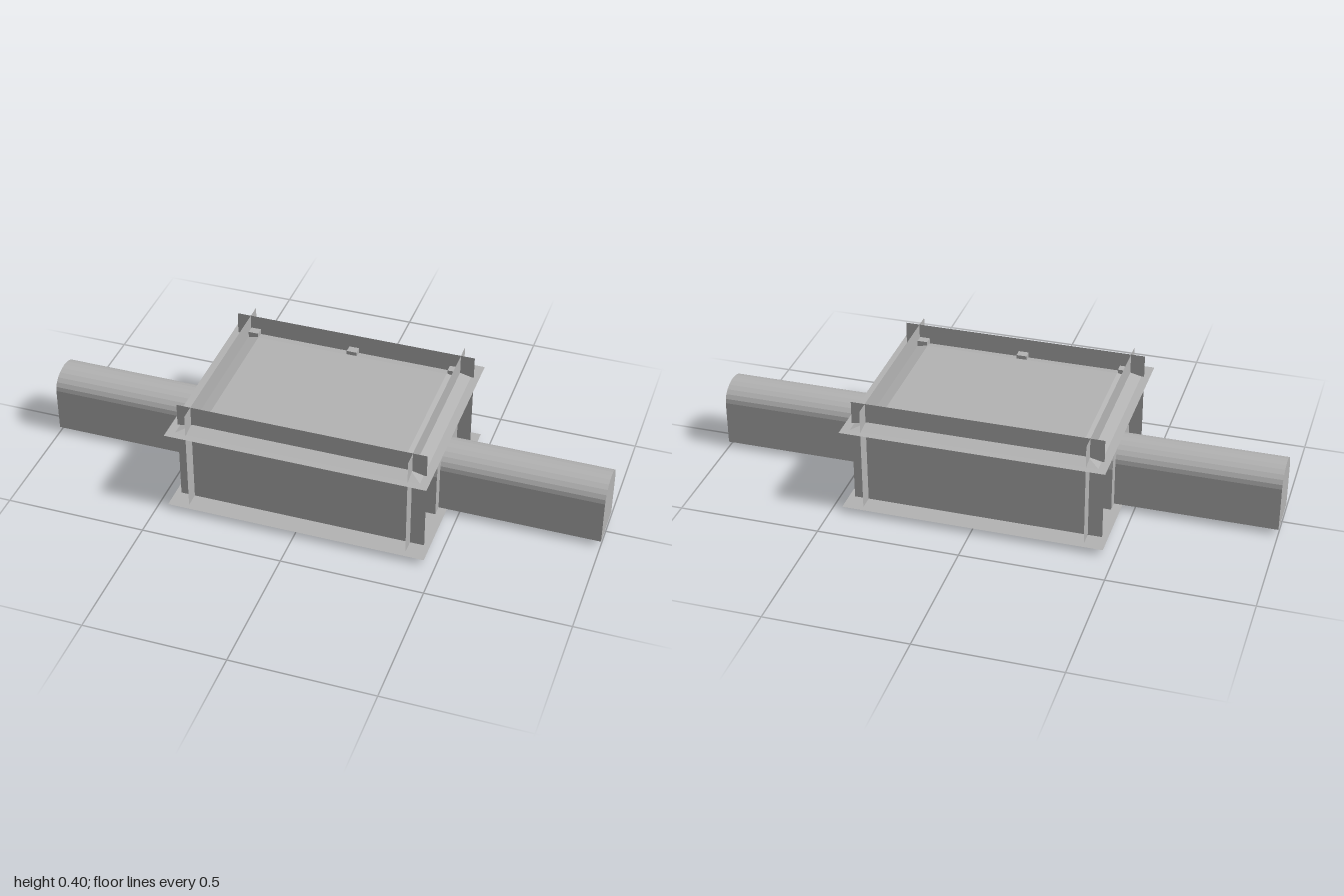
import * as THREE from 'three';

const stone = new THREE.MeshStandardMaterial({ color: 0xb4b4b4, side: THREE.DoubleSide });
stone.name = 'stone grey';

const FLOOR = 0.02, SPRING = 0.182;

// Arched outline: straight jambs with an elliptical head
function archPoints(halfWidth, top, segments = 10) {
  const pts = [new THREE.Vector2(halfWidth, FLOOR)];
  for (let i = 0; i <= segments; i++) {
    const a = (Math.PI * i) / segments;
    pts.push(new THREE.Vector2(halfWidth * Math.cos(a), SPRING + (top - SPRING) * Math.sin(a)));
  }
  pts.push(new THREE.Vector2(-halfWidth, FLOOR));
  return pts;
}

// Ceiling: flat outer flange, sloping border and raised centre
function ceilingGeometry() {
  const rings = [[0.46, 0.365, 0.318], [0.43, 0.337, 0.318], [0.35, 0.257, 0.337]];
  const corners = [[1, 1], [1, -1], [-1, -1], [-1, 1]];
  const at = (r, c) => {
    const [sx, sz] = corners[c % 4];
    return [sx * rings[r][0], rings[r][2], sz * rings[r][1]];
  };
  const pos = [];
  const quad = (a, b, c, d) => pos.push(...a, ...b, ...c, ...a, ...c, ...d);
  for (let r = 0; r < 2; r++) {
    for (let c = 0; c < 4; c++) quad(at(r, c), at(r, c + 1), at(r + 1, c + 1), at(r + 1, c));
  }
  quad(at(2, 0), at(2, 1), at(2, 2), at(2, 3));
  const geo = new THREE.BufferGeometry();
  geo.setAttribute('position', new THREE.Float32BufferAttribute(pos, 3));
  geo.computeVertexNormals();
  return geo;
}

export function createModel() {
  const model = new THREE.Group();
  model.name = 'chamberWithTunnels';
  const add = (name, geo, x = 0, y = 0, z = 0, parent = model) => {
    const mesh = new THREE.Mesh(geo, stone);
    mesh.name = name;
    mesh.position.set(x, y, z);
    parent.add(mesh);
    return mesh;
  };

  // Floor and ceiling sheets
  add('floor', new THREE.PlaneGeometry(0.92, 0.73).rotateX(-Math.PI / 2), 0, FLOOR, 0);
  add('ceiling', ceilingGeometry());

  // Long walls, crossing the end walls at the corners
  add('frontWall', new THREE.PlaneGeometry(0.88, 0.4), 0, 0.2, 0.291);
  add('backWall', new THREE.PlaneGeometry(0.88, 0.4).rotateY(Math.PI), 0, 0.2, -0.291);

  // Pillars along the long walls
  for (const z of [-0.275, 0.275]) {
    for (const x of [-0.37, 0, 0.37]) {
      add('pillar', new THREE.BoxGeometry(0.036, 0.33, 0.03), x, 0.185, z);
    }
  }

  // Each end: wall with doorway, arch surround and tunnel
  for (const side of [1, -1]) {
    const end = new THREE.Group();
    end.name = side > 0 ? 'leftEnd' : 'rightEnd';
    end.rotation.y = side > 0 ? 0 : Math.PI;
    model.add(end);

    const wall = new THREE.Shape([
      new THREE.Vector2(-0.345, 0), new THREE.Vector2(0.345, 0),
      new THREE.Vector2(0.345, 0.4), new THREE.Vector2(-0.345, 0.4),
    ]);
    wall.holes.push(new THREE.Path(archPoints(0.081, 0.243)));
    add('endWall', new THREE.ShapeGeometry(wall).rotateY(Math.PI / 2), 0.39, 0, 0, end);

    const surround = new THREE.Shape([...archPoints(0.122, 0.286), ...archPoints(0.081, 0.243).reverse()]);
    const surroundGeo = new THREE.ExtrudeGeometry(surround, { depth: 0.07, bevelEnabled: false });
    add('archSurround', surroundGeo.rotateY(Math.PI / 2), 0.36, 0, 0, end);

    // Tunnel shell, floor and closed far end
    const outline = archPoints(0.082, 0.244, 12);
    const pos = [], index = [];
    outline.forEach((p, i) => {
      pos.push(0.39, p.y, -p.x, 1, p.y, -p.x);
      const a = 2 * i, b = 2 * ((i + 1) % outline.length);
      index.push(a, a + 1, b + 1, a, b + 1, b);
    });
    const shell = new THREE.BufferGeometry();
    shell.setAttribute('position', new THREE.Float32BufferAttribute(pos, 3));
    shell.setIndex(index);
    const flat = shell.toNonIndexed();
    flat.computeVertexNormals();
    // Flip winding if the first jamb does not face outward
    if (flat.attributes.normal.getZ(0) > 0) {
      shell.setIndex(index.reverse());
    }
    const tunnel = shell.toNonIndexed();
    tunnel.computeVertexNormals();
    add('tunnel', tunnel, 0, 0, 0, end);
    add('tunnelEnd', new THREE.ShapeGeometry(new THREE.Shape(outline)).rotateY(Math.PI / 2), 1, 0, 0, end);
  }
  return model;
}
